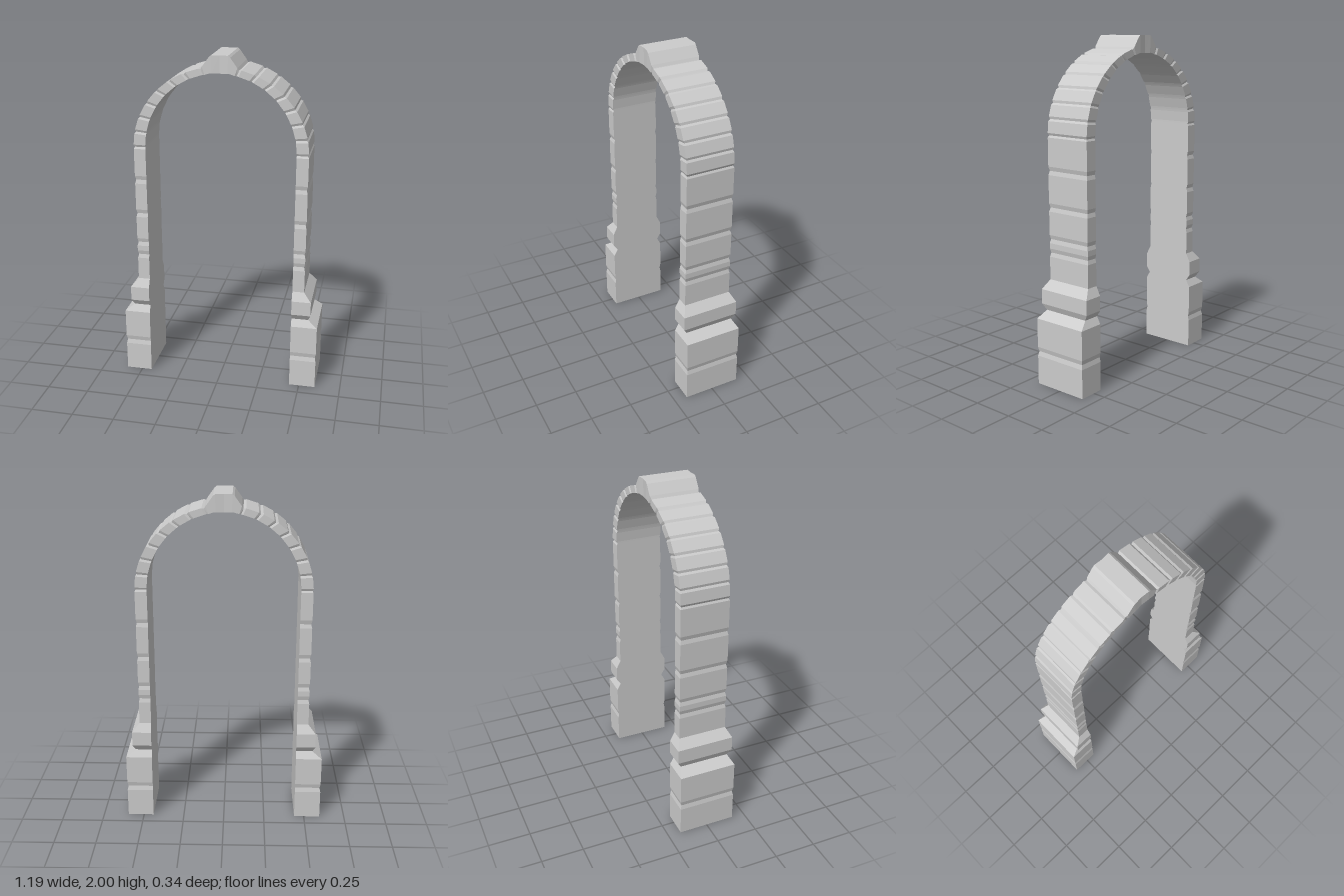
import * as THREE from 'three';

const INNER = 0.44, OUTER = 0.51, DEPTH = 0.145, SPRING = 1.455, GROOVE = 0.006;
const material = new THREE.MeshStandardMaterial({ color: 0xcccccc, flatShading: true });

// One rectangular cut through the stone: inner edge, outer edge, half depth
const cut = (ix, iy, ox, oy, d) => [[ix, iy, d], [ox, oy, d], [ox, oy, -d], [ix, iy, -d]];
const level = (y, outer, d) => cut(INNER, y, outer, y, d);

// Skins a row of cuts; side = -1 mirrors it across x
function loft(name, cuts, side = 1, capStart = false) {
  const pos = [];
  const tri = (a, b, c) => {
    for (const p of side > 0 ? [a, b, c] : [a, c, b]) pos.push(p[0] * side, p[1], p[2]);
  };
  const quad = (a, b, c, d) => { tri(a, b, c); tri(a, c, d); };
  for (let k = 0; k < cuts.length - 1; k++) {
    const a = cuts[k], b = cuts[k + 1];
    for (let i = 0; i < 4; i++) {
      const j = (i + 1) % 4;
      quad(a[i], a[j], b[j], b[i]);
    }
  }
  if (capStart) quad(cuts[0][0], cuts[0][3], cuts[0][2], cuts[0][1]);
  const geometry = new THREE.BufferGeometry();
  geometry.setAttribute('position', new THREE.Float32BufferAttribute(pos, 3));
  geometry.computeVertexNormals();
  const mesh = new THREE.Mesh(geometry, material);
  mesh.name = name;
  return mesh;
}

// Shallow V joint in a vertical stretch
const joint = (y, outer, d, h) => [
  level(y - h, outer, d), level(y, outer - GROOVE, d - GROOVE), level(y + h, outer, d),
];

// Arch cut at an angle: round inside, flatter outside so the ring thins to the top
function archCut(deg, groove = 0) {
  const a = THREE.MathUtils.degToRad(deg), c = Math.cos(a), s = Math.sin(a);
  return cut(INNER * c, SPRING + 0.445 * s,
    (OUTER - groove) * c, SPRING + (0.482 - groove) * s, DEPTH - groove);
}

export function createModel() {
  const model = new THREE.Group();
  model.name = 'archway';

  const plinth = [level(0, 0.597, 0.172), ...joint(0.2, 0.597, 0.172, 0.027),
    level(0.4, 0.597, 0.172), level(0.443, 0.54, 0.148)];
  const band = [level(0.443, 0.54, 0.148), level(0.48, 0.555, 0.172),
    level(0.567, 0.555, 0.172), level(0.62, OUTER, DEPTH)];
  const pillar = [level(0.62, OUTER, DEPTH)];
  for (const y of [0.78, 0.86, 1.045, 1.255]) pillar.push(...joint(y, OUTER, DEPTH, 0.024));
  pillar.push(level(SPRING - 0.012, OUTER, DEPTH), archCut(0, GROOVE));

  // Arch stones with a joint every 11 degrees, up to the keystone
  const arch = [archCut(0, GROOVE), archCut(1.6)];
  for (let deg = 11; deg < 77; deg += 11) {
    arch.push(archCut(deg - 1.6), archCut(deg, GROOVE), archCut(deg + 1.6));
  }
  arch.push(archCut(76), archCut(77.5, GROOVE));

  // Half keystone, dished slightly on its faces
  const keystone = [archCut(77.5, GROOVE),
    cut(0.085, 1.891, 0.1, 1.935, DEPTH),
    cut(0.055, 1.9, 0.06, 1.99, DEPTH),
    cut(0.045, 1.9, 0.048, 2, DEPTH),
    cut(0, 1.9, 0, 2, DEPTH - 0.004)];

  for (const [label, side] of [['left', 1], ['right', -1]]) {
    model.add(
      loft(label + 'Plinth', plinth, side, true),
      loft(label + 'Band', band, side),
      loft(label + 'Pillar', pillar, side),
      loft(label + 'Arch', arch, side),
      loft(label + 'KeystoneHalf', keystone, side),
    );
  }
  return model;
}
